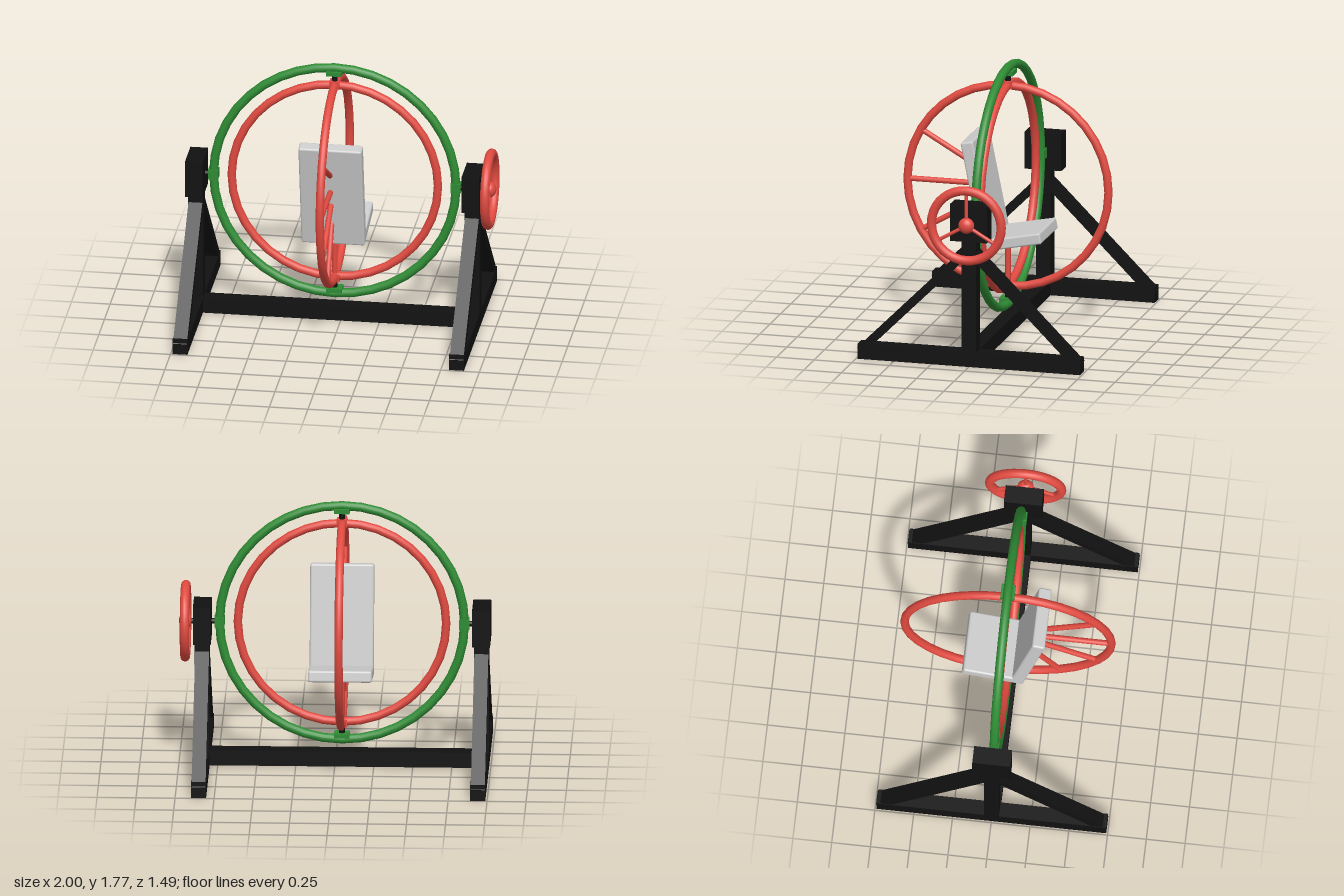
import * as THREE from 'three';
import { RoundedBoxGeometry } from 'three/addons/geometries/RoundedBoxGeometry.js';

const black = new THREE.MeshStandardMaterial({ color: 0x111111 });
const green = new THREE.MeshStandardMaterial({ color: 0x2e8b34 });
const red = new THREE.MeshStandardMaterial({ color: 0xe04a40 });
const grey = new THREE.MeshStandardMaterial({ color: 0xcccccc });

const CX = -0.045, CY = 0.955; // common centre of the rings
const SIDE = 0.895;            // distance from centre to each upright

function add(parent, name, geometry, material, x = 0, y = 0, z = 0) {
  const mesh = new THREE.Mesh(geometry, material);
  mesh.name = name;
  mesh.position.set(x, y, z);
  parent.add(mesh);
  return mesh;
}

const box = (w, h, d) => new THREE.BoxGeometry(w, h, d);

// Round bar between two points
function rod(parent, name, a, b, radius, material) {
  const from = new THREE.Vector3(...a), to = new THREE.Vector3(...b);
  const dir = to.clone().sub(from);
  const mesh = add(parent, name, new THREE.CylinderGeometry(radius, radius, dir.length(), 16), material);
  mesh.position.copy(from).add(to).multiplyScalar(0.5);
  mesh.quaternion.setFromUnitVectors(new THREE.Vector3(0, 1, 0), dir.normalize());
  return mesh;
}

function makeStand() {
  const stand = new THREE.Group();
  stand.name = 'stand';
  add(stand, 'crossBeam', box(1.88, 0.1, 0.1), black, CX, 0.05, 0);
  for (const s of [-1, 1]) {
    const x = CX + s * SIDE;
    add(stand, 'footBeam', box(0.097, 0.1, 1.48), black, x, 0.05, 0);
    add(stand, 'upright', box(0.097, 0.85, 0.097), black, x, 0.425, 0);
    add(stand, 'bearingBlock', box(0.115, 0.245, 0.245), black, x, CY, 0);
    for (const t of [-1, 1]) {
      const brace = add(stand, 'brace', box(0.09, 0.98, 0.055), black, x, 0.4, t * 0.378);
      brace.rotation.x = -t * Math.PI / 4;
    }
  }
  // Horizontal axles; the right one carries on to the handwheel
  rod(stand, 'axle', [-0.94, CY, 0], [-0.82, CY, 0], 0.018, black);
  rod(stand, 'axle', [0.73, CY, 0], [0.95, CY, 0], 0.018, black);
  return stand;
}

function makeOuterRing() {
  const outer = new THREE.Group();
  outer.name = 'outerRing';
  outer.position.set(CX, CY, 0);
  add(outer, 'outerHoop', new THREE.TorusGeometry(0.785, 0.029, 16, 40), green);
  for (const s of [-1, 1]) {
    add(outer, 'sideBracket', box(0.065, 0.065, 0.065), green, s * 0.785, 0, 0);
    add(outer, 'pivotBracket', box(0.1, 0.028, 0.09), green, 0, s * 0.755, 0);
    rod(outer, 'pivotPin', [0, s * 0.66, 0], [0, s * 0.77, 0], 0.018, black);
  }
  return outer;
}

function makeInnerRings() {
  const inner = new THREE.Group();
  inner.name = 'innerRings';
  inner.position.set(CX, CY, 0);
  const hoop = new THREE.TorusGeometry(0.668, 0.027, 16, 36);
  add(inner, 'crosswiseHoop', hoop, red);
  add(inner, 'lengthwiseHoop', hoop, red).rotation.y = Math.PI / 2;
  for (const s of [-1, 1]) add(inner, 'hoopJoint', box(0.066, 0.05, 0.066), red, 0, s * 0.672, 0);
  // Radial struts holding the seat: [angle above horizontal, inner radius]
  const struts = [[30, 0.23], [0, 0.17], [-30, 0.175], [-60, 0.27], [-90, 0.36]];
  for (const [deg, r] of struts) {
    const a = deg * Math.PI / 180, c = Math.cos(a), s = Math.sin(a);
    rod(inner, 'seatStrut', [0, r * s, r * c], [0, 0.668 * s, 0.668 * c], 0.018, red);
  }
  return inner;
}

// Reclined seat, facing the rear, pivoted on its lower back corner
function makeSeat() {
  const seat = new THREE.Group();
  seat.name = 'seat';
  seat.position.set(-0.04, 0.557, 0.117);
  seat.rotation.x = 0.2;
  add(seat, 'backrest', new RoundedBoxGeometry(0.41, 0.73, 0.085, 3, 0.014), grey, 0, 0.365, -0.0425);
  add(seat, 'seatCushion', new RoundedBoxGeometry(0.41, 0.075, 0.35, 3, 0.014), grey, 0, 0.0375, -0.23);
  return seat;
}

function makeHandwheel() {
  const wheel = new THREE.Group();
  wheel.name = 'handwheel';
  wheel.position.set(0.958, CY, 0);
  add(wheel, 'wheelRim', new THREE.TorusGeometry(0.232, 0.03, 16, 36), red).rotation.y = Math.PI / 2;
  add(wheel, 'wheelHub', new THREE.SphereGeometry(0.052, 24, 16), red).scale.x = 0.82;
  for (let i = 0; i < 3; i++) {
    const a = Math.PI / 2 + i * Math.PI * 2 / 3;
    rod(wheel, 'wheelSpoke', [0, 0, 0], [0, 0.232 * Math.sin(a), 0.232 * Math.cos(a)], 0.012, red);
  }
  return wheel;
}

export function createModel() {
  const model = new THREE.Group();
  model.name = 'gyroscopeChair';
  model.add(makeStand(), makeOuterRing(), makeInnerRings(), makeSeat(), makeHandwheel());
  return model;
}
